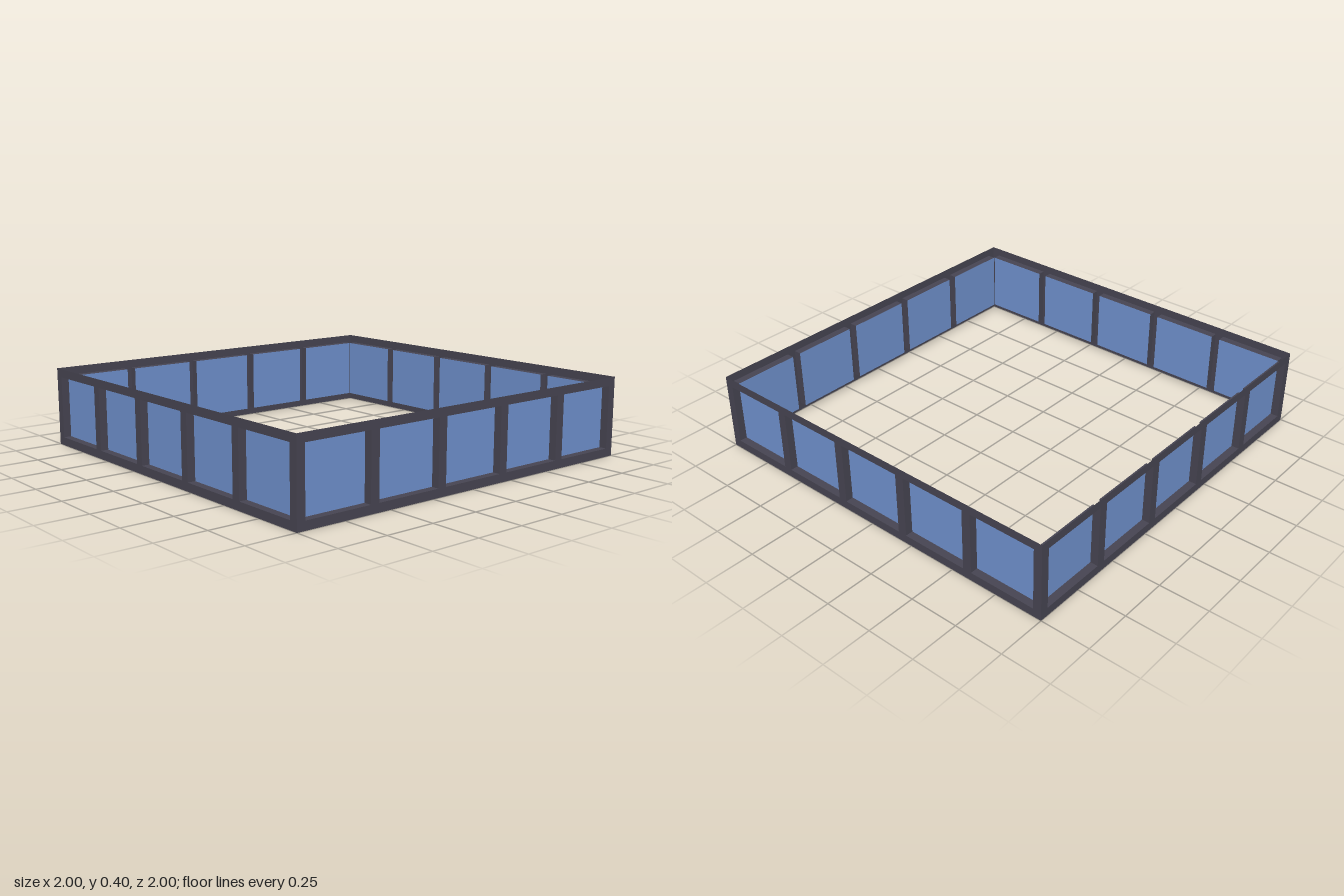
import * as THREE from 'three';
import { mergeGeometries } from 'three/addons/utils/BufferGeometryUtils.js';

const HALF = 1, HEIGHT = 0.4, DEPTH = 0.04;
const MARGIN = 0.043, RAIL = 0.042, POST = 0.046, BAYS = 5;
const PANE_W = (2 * HALF - 2 * MARGIN - (BAYS - 1) * POST) / BAYS;
const PANE_H = HEIGHT - 2 * RAIL;

const frameMaterial = new THREE.MeshStandardMaterial({ color: 0x474552, side: THREE.DoubleSide });
frameMaterial.name = 'dark frame';
const glassMaterial = new THREE.MeshStandardMaterial({ color: 0x7092cf, side: THREE.DoubleSide });
glassMaterial.name = 'blue glass';

// centre x of each window bay
const bayCentres = Array.from({ length: BAYS }, (_, i) => (i - (BAYS - 1) / 2) * (PANE_W + POST));

// flat outer face of a wall, with a rectangular opening per bay
function facadeGeometry() {
  const rect = (target, x0, y0, x1, y1) =>
    target.moveTo(x0, y0).lineTo(x1, y0).lineTo(x1, y1).lineTo(x0, y1).closePath();
  const shape = rect(new THREE.Shape(), -HALF, 0, HALF, HEIGHT);
  for (const x of bayCentres) {
    shape.holes.push(rect(new THREE.Path(), x - PANE_W / 2, RAIL, x + PANE_W / 2, HEIGHT - RAIL));
  }
  return new THREE.ShapeGeometry(shape).translate(0, 0, HALF);
}

// sill, head and two jambs running from the outer face back to the glass
function revealGeometry(x) {
  const y = HEIGHT / 2, z = HALF - DEPTH / 2;
  const flat = () => new THREE.PlaneGeometry(PANE_W, DEPTH);
  const upright = () => new THREE.PlaneGeometry(DEPTH, PANE_H);
  return mergeGeometries([
    flat().rotateX(-Math.PI / 2).translate(x, RAIL, z),
    flat().rotateX(Math.PI / 2).translate(x, HEIGHT - RAIL, z),
    upright().rotateY(Math.PI / 2).translate(x - PANE_W / 2, y, z),
    upright().rotateY(-Math.PI / 2).translate(x + PANE_W / 2, y, z),
  ]);
}

function createWall(name) {
  const wall = new THREE.Group();
  wall.name = name;
  const add = (part, geometry, material) => {
    const mesh = new THREE.Mesh(geometry, material);
    mesh.name = part;
    wall.add(mesh);
  };
  add('facade', facadeGeometry(), frameMaterial);
  add('windowReveals', mergeGeometries(bayCentres.map(revealGeometry)), frameMaterial);
  // recessed panes
  for (const x of bayCentres) {
    const pane = new THREE.PlaneGeometry(PANE_W, PANE_H).translate(x, HEIGHT / 2, HALF - DEPTH);
    add('windowPane', pane, glassMaterial);
  }
  return wall;
}

export function createModel() {
  const model = new THREE.Group();
  model.name = 'windowStorey';
  // four identical walls around an open square
  ['frontWall', 'leftWall', 'backWall', 'rightWall'].forEach((name, i) => {
    const wall = createWall(name);
    wall.rotation.y = i * Math.PI / 2;
    model.add(wall);
  });
  return model;
}
